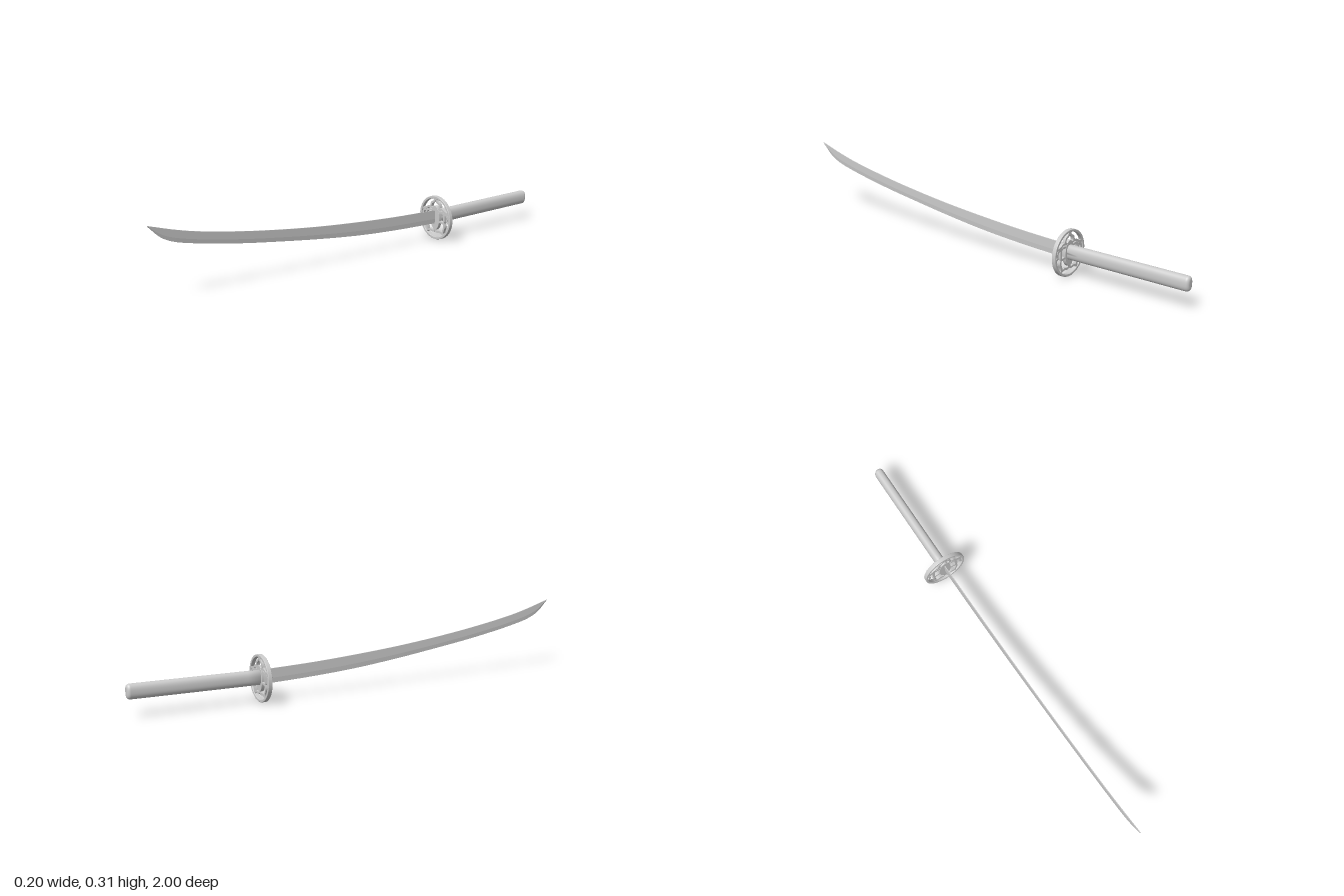
import * as THREE from 'three';

const material = new THREE.MeshStandardMaterial({ color: 0xcccccc });
const CY = 0.0985; // height of the guard's centre

// Skin a list of closed rings (each counter-clockwise seen from +z, z increasing)
function loft(rings) {
  const n = rings[0].length, pos = rings.flat(2), idx = [];
  for (let i = 0; i < rings.length - 1; i++) {
    for (let j = 0; j < n; j++) {
      const a = i * n + j, b = i * n + (j + 1) % n;
      idx.push(a, b, b + n, a, b + n, a + n);
    }
  }
  // end caps
  const last = (rings.length - 1) * n;
  for (let j = 1; j < n - 1; j++) {
    idx.push(0, j + 1, j, last, last + j, last + j + 1);
  }
  const g = new THREE.BufferGeometry();
  g.setAttribute('position', new THREE.Float32BufferAttribute(pos, 3));
  g.setIndex(idx);
  return g;
}

function addMesh(parent, name, geometry) {
  const m = new THREE.Mesh(geometry, material);
  m.name = name;
  parent.add(m);
  return m;
}

// Curved blade: stations of (z, lower edge y, upper edge y)
function bladeGeometry() {
  const stations = [
    [-0.44, 0.072, 0.133], [-0.2, 0.081, 0.141], [0, 0.094, 0.153], [0.2, 0.115, 0.169],
    [0.4, 0.141, 0.191], [0.6, 0.17, 0.219], [0.8, 0.207, 0.255], [0.9, 0.233, 0.28],
    [0.95, 0.259, 0.295], [1, 0.307, 0.31],
  ].map(p => new THREE.Vector3(...p));
  const rings = new THREE.CatmullRomCurve3(stations).getPoints(54).map(({ x: z, y: lo, z: hi }) => {
    const w = 0.0018, ridge = lo + (hi - lo) * 0.35;
    return [[0, lo, z], [w, ridge, z], [w, hi, z], [-w, hi, z], [-w, ridge, z]];
  });
  const g = loft(rings).toNonIndexed();
  g.computeVertexNormals();
  return g;
}

// Handle with an oval section, slightly rising, and a rounded pommel
function handleGeometry() {
  const rings = [], n = 40;
  const ring = (z, inset) => {
    const t = (-0.44 - z) / 0.56;
    const cy = 0.103 + 0.004 * t, hw = 0.021 - inset, hh = 0.031 - inset;
    return Array.from({ length: n }, (_, j) => {
      const a = j / n * Math.PI * 2, c = Math.cos(a), s = Math.sin(a);
      return [
        hw * Math.sign(c) * Math.abs(c) ** 0.85,
        cy + hh * Math.sign(s) * Math.abs(s) ** 0.85, z,
      ];
    });
  };
  for (let k = 0; k <= 8; k++) {
    const a = k / 8 * Math.PI / 2, r = 0.014;
    rings.push(ring(-1 + r * (1 - Math.sin(a)), r * (1 - Math.cos(a))));
  }
  // the pommel arc runs from its side to its end, so put the end first
  rings.reverse();
  for (const z of [-0.85, -0.7, -0.6, -0.5, -0.44]) rings.push(ring(z, 0));
  rings.sort((p, q) => p[0][2] - q[0][2]);
  const g = loft(rings);
  g.computeVertexNormals();
  return g;
}

// Flat shape extruded about z = 0
function plate(shape, depth, bevel = 0) {
  const g = new THREE.ExtrudeGeometry(shape, {
    depth: depth - 2 * bevel, curveSegments: 48, bevelEnabled: bevel > 0,
    bevelSize: bevel, bevelThickness: bevel, bevelOffset: -bevel, bevelSegments: 3,
  });
  g.translate(0, 0, bevel - depth / 2);
  return g;
}

// Vine of the openwork: a ribbon around a smooth path, in thousandths
function vineShape(points, width, side) {
  const curve = new THREE.SplineCurve(
    points.map(([x, y]) => new THREE.Vector2(side * x / 1000, y / 1000)));
  const left = [], right = [], steps = 24;
  for (let i = 0; i <= steps; i++) {
    const p = curve.getPoint(i / steps), t = curve.getTangent(i / steps);
    const w = width / 2;
    left.push(new THREE.Vector2(p.x - t.y * w, p.y + t.x * w));
    right.unshift(new THREE.Vector2(p.x + t.y * w, p.y - t.x * w));
  }
  return new THREE.Shape([...left, ...right]);
}

function createGuard() {
  const guard = new THREE.Group();
  guard.name = 'guard';

  const rim = new THREE.Shape().absarc(0, 0, CY, 0, Math.PI * 2);
  rim.holes.push(new THREE.Path().absarc(0, 0, 0.0875, 0, Math.PI * 2, true));
  addMesh(guard, 'guardRim', plate(rim, 0.018, 0.002));

  const seat = new THREE.Shape().absellipse(0, 0, 0.029, 0.055, 0, Math.PI * 2);
  addMesh(guard, 'guardSeat', plate(seat, 0.016, 0.001));

  const vines = {
    topVine: [[0, 92], [9, 74], [23, 66], [28, 46], [12, 42]],
    shoulderVine: [[27, 46], [44, 44], [60, 35], [84, 30]],
    sideLoop: [[18, 28], [38, 32], [54, 25], [57, 4], [54, -16], [36, -14], [22, -16]],
    outerVine: [[54, 25], [70, 25], [79, 12], [78, -4], [88, -12]],
    lowerVine: [[54, -14], [59, -32], [52, -52], [50, -64], [54, -76]],
    footVine: [[2, -52], [10, -63], [30, -61], [50, -65]],
  };
  for (const side of [1, -1]) {
    for (const [name, points] of Object.entries(vines)) {
      addMesh(guard, name + (side > 0 ? 'Left' : 'Right'),
        plate(vineShape(points, 0.009, side), 0.014));
    }
  }
  guard.position.set(0, CY, -0.438);
  return guard;
}

export function createModel() {
  const sword = new THREE.Group();
  sword.name = 'sword';
  addMesh(sword, 'blade', bladeGeometry());
  addMesh(sword, 'handle', handleGeometry());
  sword.add(createGuard());
  return sword;
}
